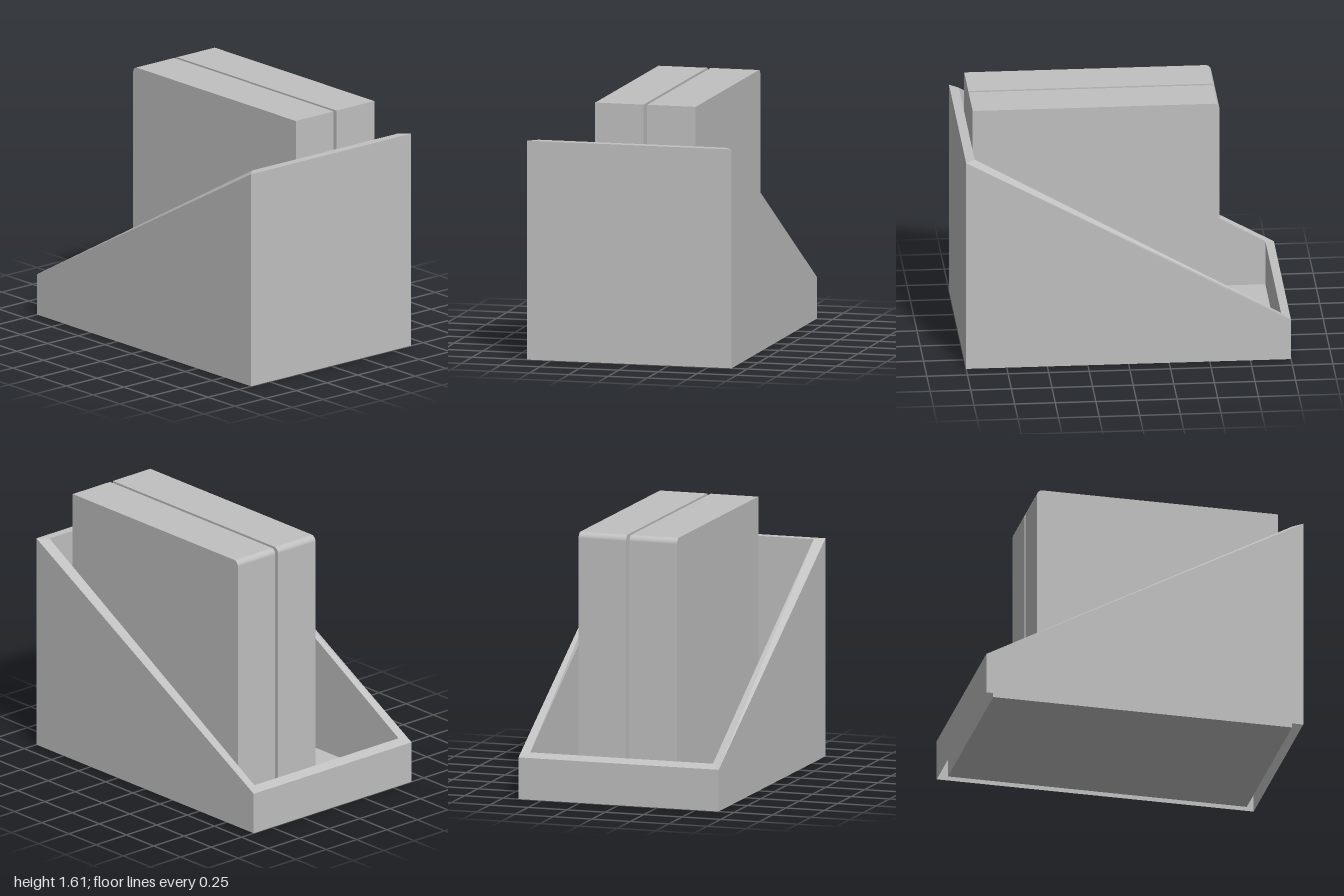
import * as THREE from 'three';

const grey = new THREE.MeshStandardMaterial({ color: 0xc0c0c0, side: THREE.DoubleSide });
grey.name = 'grey';

// Four corners of a rectangular loop, with separate heights at the low (-x) and high (+x) ends
const loop = (x, z, low, high) => [[-x, low, z], [x, high, z], [x, high, -z], [-x, low, -z]];

// Flat-faced band joining two corner loops
function band(name, a, b) {
  const points = [];
  for (let i = 0; i < 4; i++) {
    const j = (i + 1) % 4;
    points.push(...a[i], ...a[j], ...b[j], ...a[i], ...b[j], ...b[i]);
  }
  const geometry = new THREE.BufferGeometry();
  geometry.setAttribute('position', new THREE.Float32BufferAttribute(points, 3));
  geometry.computeVertexNormals();
  const mesh = new THREE.Mesh(geometry, grey);
  mesh.name = name;
  return mesh;
}

// Upright slab with one rounded upper corner
function slab(name, zMin, zMax) {
  const left = -0.58, right = 0.94, bottom = 0.002, top = 1.605, r = 0.035;
  const shape = new THREE.Shape();
  shape.moveTo(left, bottom);
  shape.lineTo(right, bottom);
  shape.lineTo(right, top);
  shape.lineTo(left + r, top);
  shape.absarc(left + r, top - r, r, Math.PI / 2, Math.PI, false);
  shape.closePath();
  const geometry = new THREE.ExtrudeGeometry(shape, { depth: zMax - zMin, bevelEnabled: false, curveSegments: 6 });
  geometry.translate(0, 0, zMin);
  const mesh = new THREE.Mesh(geometry, grey);
  mesh.name = name;
  return mesh;
}

export function createModel() {
  const model = new THREE.Group();
  model.name = 'slopedHolder';

  // Tray with sloped sides: outer skin, rim and inner skin, open under the walls
  const outerBottom = loop(1, 0.65, 0, 0);
  const outerTop = loop(1, 0.65, 0.26, 1.36);
  const innerTop = loop(0.943, 0.593, 0.285, 1.36);
  const innerBottom = loop(0.943, 0.593, 0, 0);
  model.add(
    band('outerWalls', outerBottom, outerTop),
    band('rim', outerTop, innerTop),
    band('innerWalls', innerTop, innerBottom),
  );

  // Thin floor between the inner walls
  const floor = new THREE.Mesh(new THREE.PlaneGeometry(1.886, 1.186).rotateX(-Math.PI / 2), grey);
  floor.name = 'floor';
  model.add(floor);

  // Two slabs standing side by side
  model.add(slab('frontSlab', -0.074, 0.234), slab('backSlab', -0.405, -0.097));
  return model;
}
